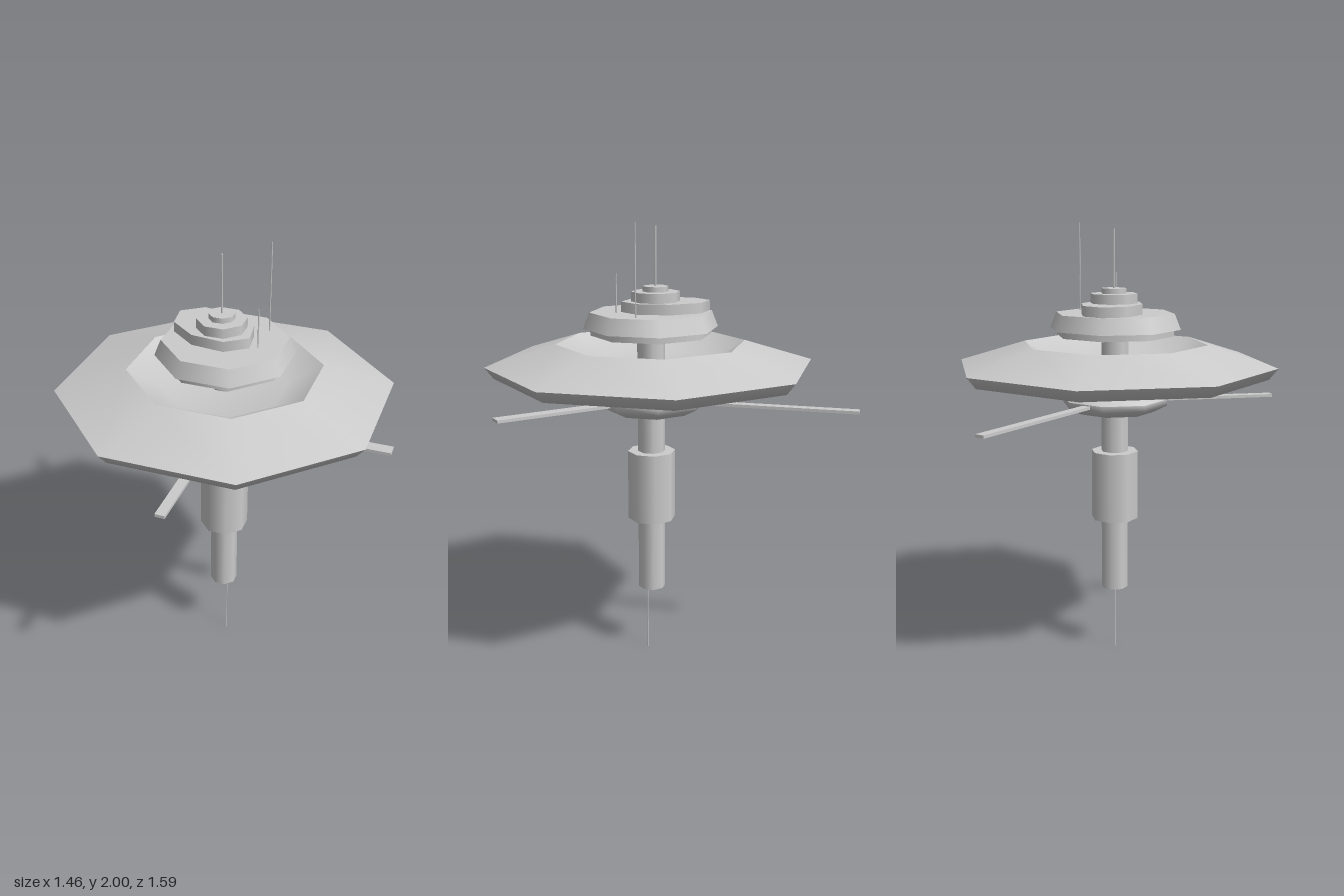
import * as THREE from 'three';

const SIDES = 8;
const AXIS_Z = 0.06; // z of the main axis

const grey = new THREE.MeshStandardMaterial({ color: 0xcccccc, side: THREE.DoubleSide });

export function createModel() {
  const model = new THREE.Group();

  function add(name, geometry, x, y, z, parent = model) {
    const mesh = new THREE.Mesh(geometry, grey);
    mesh.name = name;
    mesh.position.set(x, y, z);
    parent.add(mesh);
    return mesh;
  }

  // Octagonal turned part; each section is smooth, edges between sections stay sharp
  function turned(name, sections) {
    const group = new THREE.Group();
    group.name = name;
    group.position.z = AXIS_Z;
    sections.forEach((points, i) => {
      const profile = points.map(([r, y]) => new THREE.Vector2(r, y));
      add(`${name}Surface${i + 1}`, new THREE.LatheGeometry(profile, SIDES), 0, 0, 0, group);
    });
    model.add(group);
  }

  // Octagonal tier standing between two heights
  function tier(name, rBottom, rTop, y0, y1, z = AXIS_Z, stretchZ = 1) {
    const geometry = new THREE.CylinderGeometry(rTop, rBottom, y1 - y0, SIDES);
    geometry.scale(1, 1, stretchZ);
    add(name, geometry, 0, (y0 + y1) / 2, z);
  }

  function antenna(name, x, z, y0, y1, r = 0.003) {
    add(name, new THREE.CylinderGeometry(r, r, y1 - y0, 6), x, (y0 + y1) / 2, z);
  }

  // Central column and its thicker sleeve
  tier('column', 0.062, 0.062, 0.318, 1.515);
  tier('columnSleeve', 0.108, 0.108, 0.66, 0.98);

  // Docking hub
  turned('hub', [
    [[0, 1.167], [0.18, 1.167], [0.24, 1.198], [0.24, 1.226]],
    [[0.24, 1.226], [0.17, 1.278], [0, 1.278]],
  ]);

  // Flat arms radiating from the hub: direction in degrees, tip radius, width
  const arms = [
    [67.5, 0.917, 0.042],
    [202.5, 0.745, 0.042],
    [292.5, 0.74, 0.055],
  ];
  arms.forEach(([degrees, tip, width], i) => {
    const angle = THREE.MathUtils.degToRad(degrees);
    const start = 0.19;
    const middle = (start + tip) / 2;
    const arm = add(`arm${i + 1}`, new THREE.BoxGeometry(tip - start, 0.013, width),
      Math.cos(angle) * middle, 1.214, AXIS_Z - Math.sin(angle) * middle);
    arm.rotation.y = angle;
  });

  // Wide disc with a sunken bowl on top
  turned('disc', [
    [[0, 1.33], [0.69, 1.33], [0.73, 1.38]],
    [[0.73, 1.38], [0.42, 1.475]],
    [[0.42, 1.475], [0.27, 1.39], [0, 1.39]],
  ]);

  // Command module with stacked tiers
  tier('moduleBase', 0.267, 0.267, 1.51, 1.54);
  tier('moduleBody', 0.298, 0.27, 1.54, 1.61);
  tier('longTier', 0.137, 0.137, 1.61, 1.655, -0.005, 1.43);
  tier('middleTier', 0.107, 0.107, 1.655, 1.697, 0.04);
  tier('topTier', 0.056, 0.056, 1.697, 1.72, 0.04);

  // Antennas
  antenna('topAntenna', 0, 0.04, 1.72, 1.975, 0.004);
  antenna('tallAntenna', 0.18, 0.148, 1.61, 2);
  antenna('shortAntenna', 0.027, 0.214, 1.61, 1.78);
  antenna('lowerAntenna', 0, 0.08, 0, 0.32);

  return model;
}
